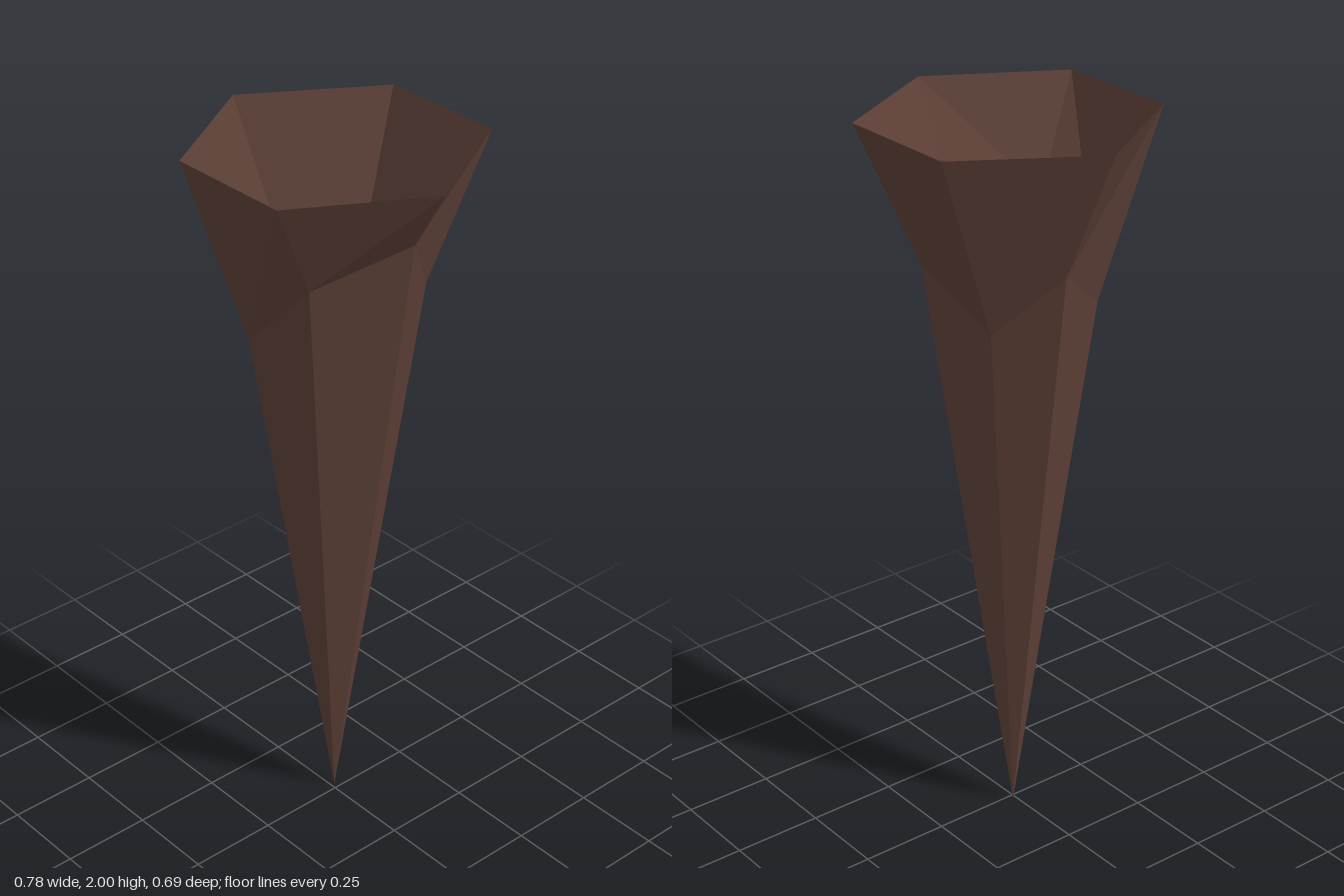
import * as THREE from 'three';

// Joins rings of points, from top to bottom, into an open six-sided shell
function loft(rings) {
  const pos = [];
  for (let r = 0; r < rings.length - 1; r++) {
    const upper = rings[r], lower = rings[r + 1], n = upper.length;
    for (let i = 0; i < n; i++) {
      const j = (i + 1) % n;
      pos.push(...upper[i], ...upper[j], ...lower[i]);
      if (lower[i] !== lower[j]) pos.push(...upper[j], ...lower[j], ...lower[i]);
    }
  }
  const g = new THREE.BufferGeometry();
  g.setAttribute('position', new THREE.Float32BufferAttribute(pos, 3));
  g.computeVertexNormals();
  return g;
}

export function createModel() {
  const group = new THREE.Group();
  group.name = 'rockSpike';
  const rock = new THREE.MeshStandardMaterial({ color: 0x5d4037, flatShading: true, side: THREE.DoubleSide });
  rock.name = 'brownRock';

  // Open hexagonal rim
  const rim = [[0.39, 0], [0.19, -0.348], [-0.17, -0.348], [-0.39, 0], [-0.17, 0.346], [0.19, 0.346]]
    .map(([x, z]) => [x, 2, z]);
  // Uneven neck where the flare meets the spike
  const neck = [
    [0.263, 1.815, -0.025], [0.133, 1.61, -0.19], [-0.1, 1.48, -0.148],
    [-0.245, 1.65, -0.025], [-0.1, 1.485, 0.2], [0.133, 1.715, 0.2],
  ];
  // All corners meet at the tip
  const tip = new Array(6).fill([-0.016, 0, -0.011]);

  const flare = new THREE.Mesh(loft([rim, neck]), rock);
  flare.name = 'flaredTop';
  const spike = new THREE.Mesh(loft([neck, tip]), rock);
  spike.name = 'taperedSpike';
  group.add(flare, spike);
  return group;
}
